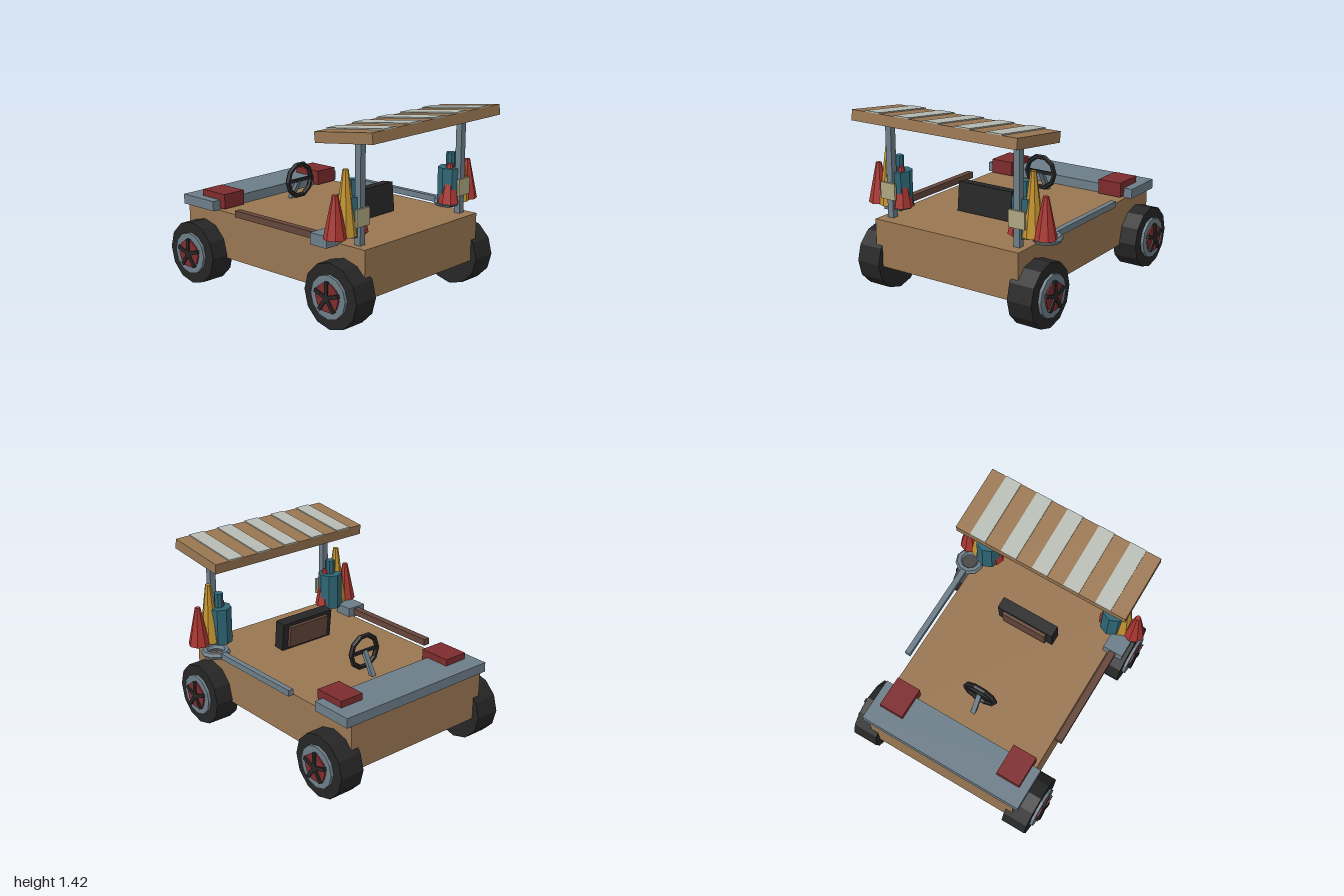
import * as THREE from 'three';

const mat = (name, color) => new THREE.MeshStandardMaterial({ name, color, flatShading: true });

export function createModel() {
  const wood = mat('wood', 0x997652);
  const steel = mat('steel', 0x6c7d88);
  const darkRed = mat('darkRed', 0x7d2b2d);
  const coneRed = mat('coneRed', 0xa83530);
  const yellow = mat('yellow', 0xc2922f);
  const teal = mat('teal', 0x2f6675);
  const black = mat('black', 0x262626);
  const stripe = mat('stripe', 0xb6bbb3);
  const cream = mat('cream', 0xaea681);
  const brown = mat('brown', 0x64463a);

  const model = new THREE.Group();
  model.name = 'cart';

  const add = (name, geometry, material, x, y, z, parent = model) => {
    const mesh = new THREE.Mesh(geometry, material);
    mesh.name = name;
    mesh.position.set(x, y, z);
    parent.add(mesh);
    return mesh;
  };
  // Box given by its limits on each axis
  const box = (name, material, [x0, x1], [y0, y1], [z0, z1], parent = model) =>
    add(name, new THREE.BoxGeometry(x1 - x0, y1 - y0, z1 - z0), material,
      (x0 + x1) / 2, (y0 + y1) / 2, (z0 + z1) / 2, parent);
  const group = (name, x, y, z) => {
    const g = new THREE.Group();
    g.name = name;
    g.position.set(x, y, z);
    model.add(g);
    return g;
  };

  // Body and rear deck
  box('body', wood, [-0.63, 0.63], [0.22, 0.58], [-0.94, 0.87]);
  box('rearDeck', steel, [-0.675, 0.675], [0.578, 0.653], [-0.947, -0.61]);

  // Wheels: tyre, hub, red disc and five spokes on the outer face
  const disc = (name, r, x0, x1, sides, material, parent) => {
    const g = new THREE.CylinderGeometry(r, r, x1 - x0, sides).rotateZ(Math.PI / 2);
    add(name, g, material, (x0 + x1) / 2, 0, 0, parent);
  };
  for (const side of [-1, 1]) {
    for (const z of [-0.76, 0.68]) {
      const wheel = group(side > 0 ? 'leftWheel' : 'rightWheel', 0, 0.242, z);
      if (side < 0) wheel.rotation.y = Math.PI;
      disc('tyre', 0.242, 0.572, 0.77, 12, black, wheel);
      disc('hub', 0.16, 0.74, 0.793, 12, steel, wheel);
      disc('hubDisc', 0.108, 0.78, 0.804, 10, darkRed, wheel);
      for (let i = 0; i < 5; i++) {
        const a = i * Math.PI * 2 / 5;
        const spoke = add('spoke', new THREE.BoxGeometry(0.03, 0.115, 0.028), black,
          0.8, Math.cos(a) * 0.0575, Math.sin(a) * 0.0575, wheel);
        spoke.rotation.x = a;
      }
    }
  }

  // Tilted roof with pale stripes
  const roof = group('roof', 0, 1.341, 0.736);
  roof.rotation.x = -0.122;
  box('roofPanel', wood, [-0.705, 0.705], [-0.039, 0.039], [-0.26, 0.26], roof);
  for (let i = -2; i <= 2; i++) {
    box('roofStripe', stripe, [i * 0.26 - 0.064, i * 0.26 + 0.064], [0.038, 0.0475], [-0.26, 0.26], roof);
  }

  // Posts, lamps, cones, bottles and rear boxes, mirrored
  const cone = (name, material, x, z, y0, y1, r) =>
    add(name, new THREE.CylinderGeometry(0.021, r, y1 - y0, 8), material, x, (y0 + y1) / 2, z);
  for (const s of [-1, 1]) {
    const span = (a, b) => (s > 0 ? [a, b] : [-b, -a]);
    box('roofPost', steel, span(0.532, 0.582), [0.578, 1.31], [0.735, 0.785]);
    box('lamp', cream, span(0.5, 0.632), [0.72, 0.846], [0.78, 0.8]);
    cone('outerCone', coneRed, s * 0.735, 0.695, 0.65, 0.952, 0.083);
    cone('tallCone', yellow, s * 0.633, 0.695, 0.65, 1.112, 0.083);
    cone('innerCone', coneRed, s * 0.52, 0.695, 0.65, 0.952, 0.083);
    add('bottle', new THREE.CylinderGeometry(0.095, 0.095, 0.285, 8), teal, s * 0.555, 0.777, 0.675);
    add('bottleNeck', new THREE.CylinderGeometry(0.035, 0.035, 0.12, 8), teal, s * 0.555, 0.97, 0.675);
    box('rearBox', darkRed, span(0.41, 0.605), [0.59, 0.703], [-0.805, -0.557]);
  }

  // Seat back with a brown pad
  const seat = group('seat', 0, 0.695, 0.342);
  seat.rotation.x = -0.1;
  box('seatBack', black, [-0.237, 0.237], [-0.111, 0.111], [-0.046, 0.046], seat);
  box('seatPad', brown, [-0.185, 0.185], [-0.085, 0.085], [-0.071, -0.045], seat);

  // Steering wheel and its column
  const steering = group('steering', 0, 0.742, -0.362);
  add('steeringRim', new THREE.TorusGeometry(0.126, 0.02, 6, 10), black, 0, 0, 0, steering);
  box('steeringBar', black, [-0.12, 0.12], [-0.012, 0.012], [-0.01, 0.01], steering);
  const column = add('steeringColumn', new THREE.BoxGeometry(0.036, 0.2, 0.03), steel, 0, -0.085, -0.053, steering);
  column.rotation.x = 0.52;

  // Wrench along the left side
  box('wrenchHandle', steel, [0.647, 0.69], [0.587, 0.633], [-0.338, 0.475]);
  add('wrenchRing', new THREE.TorusGeometry(0.085, 0.028, 6, 10).rotateX(Math.PI / 2), steel, 0.67, 0.61, 0.572);

  // Hammer along the right side
  box('hammerHandle', brown, [-0.697, -0.643], [0.588, 0.638], [-0.343, 0.5]);
  box('hammerHead', steel, [-0.752, -0.59], [0.568, 0.652], [0.475, 0.63]);

  return model;
}
